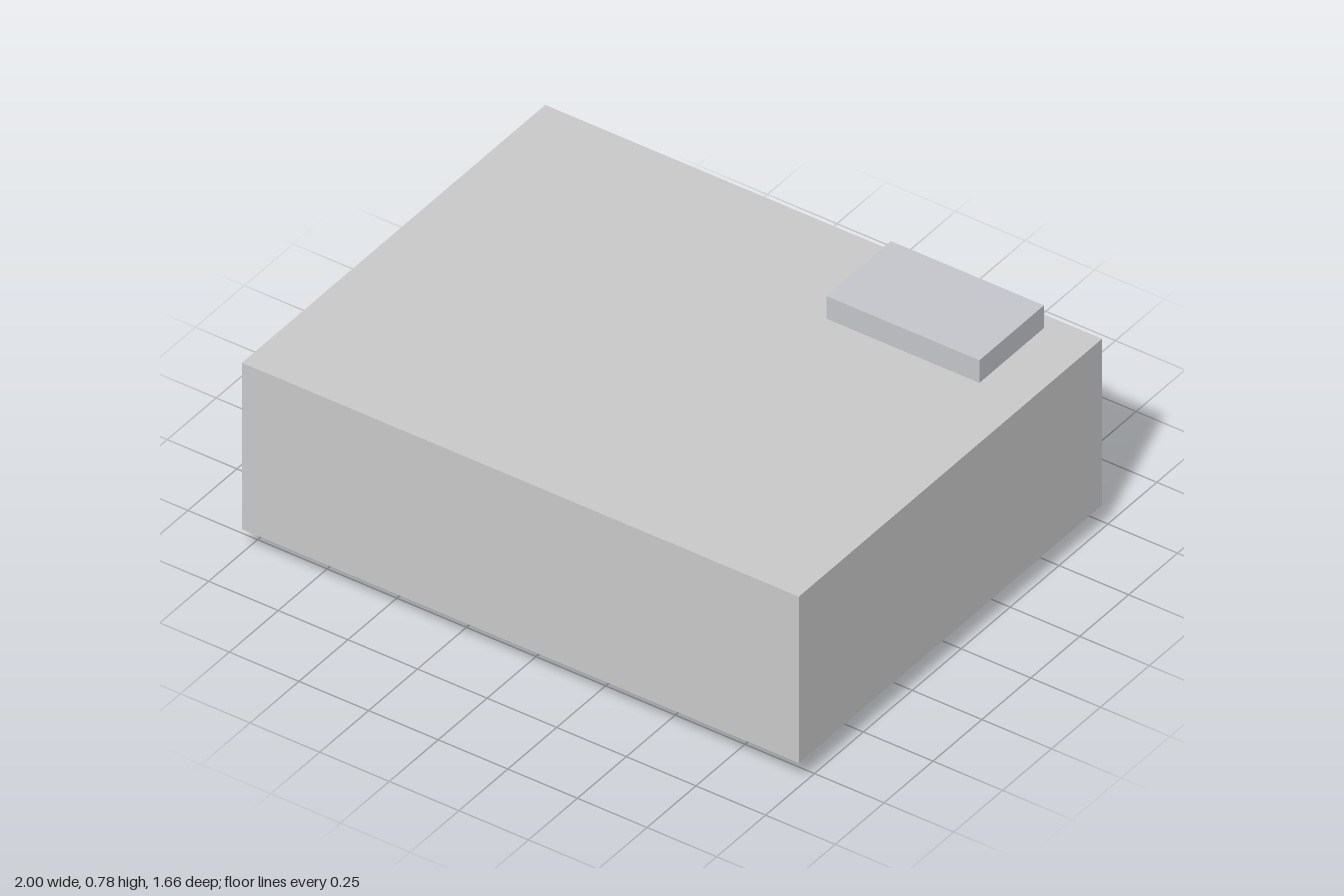
import * as THREE from 'three';

// Adds a box given its min and max corners
function addBox(group, name, min, max, color) {
  const size = max.map((v, i) => v - min[i]);
  const mesh = new THREE.Mesh(
    new THREE.BoxGeometry(...size),
    new THREE.MeshStandardMaterial({ color, flatShading: true })
  );
  mesh.name = name;
  mesh.position.set(...max.map((v, i) => (v + min[i]) / 2));
  group.add(mesh);
}

export function createModel() {
  const group = new THREE.Group();
  group.name = 'boxWithWheel';

  // Main block and the low raised panel on its back left corner
  addBox(group, 'body', [-1, 0.087, -0.72], [1, 0.697, 0.83], 0xcccccc);
  addBox(group, 'raisedPanel', [0.28, 0.697, -0.665], [0.83, 0.78, -0.335], 0xc6c8cd);

  // Wheel, axle along z, partly sunk into the back of the body
  const wheel = new THREE.Mesh(
    new THREE.CylinderGeometry(0.25, 0.25, 0.222, 24).rotateX(Math.PI / 2),
    new THREE.MeshStandardMaterial({ color: 0x6b6b6d, flatShading: true })
  );
  wheel.name = 'wheel';
  wheel.position.set(-0.557, 0.25, -0.719);
  group.add(wheel);

  return group;
}
